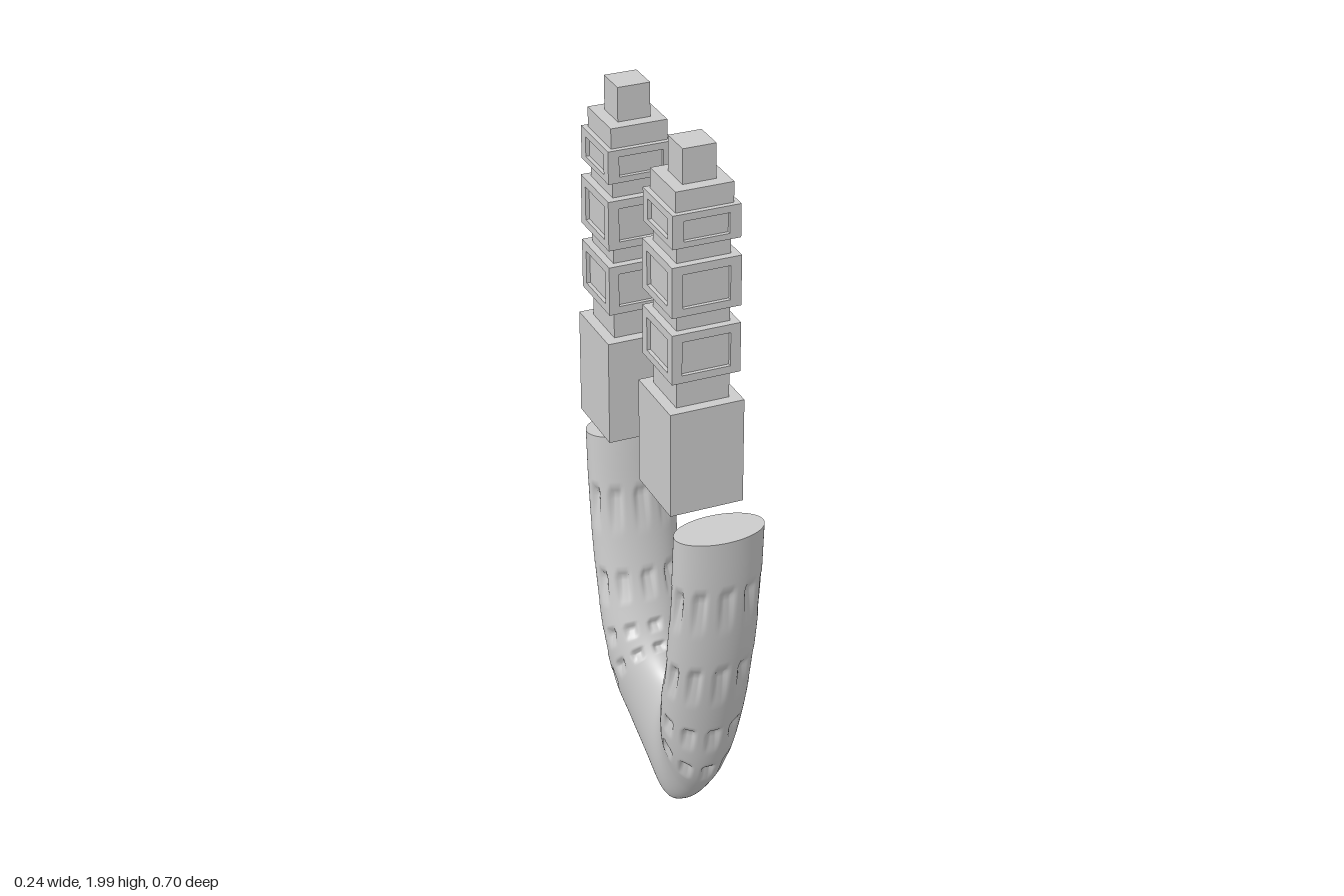
import * as THREE from 'three';

const material = new THREE.MeshStandardMaterial({ color: 0xcccccc });

function add(parent, name, geometry, x = 0, y = 0, z = 0) {
  const mesh = new THREE.Mesh(geometry, material);
  mesh.name = name;
  mesh.position.set(x, y, z);
  parent.add(mesh);
  return mesh;
}

// Square block between two heights
function block(parent, name, width, y0, y1) {
  return add(parent, name, new THREE.BoxGeometry(width, y1 - y0, width), 0, (y0 + y1) / 2, 0);
}

// Block with a raised rectangular frame on each of its four sides
function framedBlock(parent, width, y0, y1, openWidth, openY0, openY1) {
  const depth = 0.01, h = width / 2, o = openWidth / 2;
  const group = new THREE.Group();
  group.name = 'framedBlock';
  block(group, 'blockCore', width - 2 * depth, y0, y1);
  const shape = new THREE.Shape([[-h, y0], [h, y0], [h, y1], [-h, y1]].map(p => new THREE.Vector2(...p)));
  shape.holes.push(new THREE.Path(
    [[-o, openY0], [-o, openY1], [o, openY1], [o, openY0]].map(p => new THREE.Vector2(...p))));
  const frame = new THREE.ExtrudeGeometry(shape, { depth, bevelEnabled: false });
  frame.translate(0, 0, h - depth);
  for (let i = 0; i < 4; i++) add(group, 'windowFrame', frame).rotation.y = i * Math.PI / 2;
  parent.add(group);
}

function makeTower(z) {
  const tower = new THREE.Group();
  tower.name = 'tower';
  block(tower, 'towerBase', 0.192, 1.07, 1.35);
  block(tower, 'towerCore', 0.137, 1.35, 1.86);
  framedBlock(tower, 0.176, 1.425, 1.555, 0.124, 1.445, 1.533);
  framedBlock(tower, 0.176, 1.6, 1.73, 0.12, 1.62, 1.708);
  framedBlock(tower, 0.172, 1.775, 1.86, 0.115, 1.79, 1.842);
  block(tower, 'towerCollar', 0.146, 1.855, 1.912);
  block(tower, 'towerTop', 0.084, 1.912, 2);
  tower.position.set(-0.025, 0, z);
  return tower;
}

// Half of the U body: outer z, y; inner z, y; half width in x
const STATIONS = [
  [0.348, 1.015, 0.217, 1.015, 0.118],
  [0.333, 0.81, 0.198, 0.81, 0.118],
  [0.307, 0.6, 0.16, 0.62, 0.116],
  [0.265, 0.39, 0.118, 0.5, 0.112],
  [0.225, 0.235, 0.085, 0.44, 0.098],
  [0.165, 0.135, 0.05, 0.4, 0.076],
  [0.085, 0.055, 0.022, 0.38, 0.06],
  [0, 0.008, 0, 0.373, 0.055],
];
const SLOT_ROWS = [[0.7, 1.35], [1.9, 2.5], [2.95, 3.4], [3.8, 4.3]];
const SLOT_COLUMNS = 10;

// Depth of the wedge-shaped slots, 0..1, at a station and an angle
function slotDepth(station, angle) {
  const row = SLOT_ROWS.find(([a, b]) => station > a && station < b);
  if (!row) return 0;
  const v = (station - row[0]) / (row[1] - row[0]);
  const q = Math.abs((angle * SLOT_COLUMNS / (2 * Math.PI) + 0.5) % 1 - 0.5);
  const across = THREE.MathUtils.clamp((0.28 - q) / 0.09, 0, 1);
  return Math.min(1, v * 6) * (1 - v) * across;
}

// U body: elliptical sections between the outer and the inner curve
function bodyGeometry() {
  const all = STATIONS.concat(
    STATIONS.slice(0, -1).reverse().map(([a, b, c, d, w]) => [-a, b, -c, d, w]));
  const curve = pts => new THREE.CatmullRomCurve3(pts, false, 'catmullrom', 0.5);
  const outer = curve(all.map(([z, y, , , w]) => new THREE.Vector3(w, y, z)));
  const inner = curve(all.map(([, , z, y]) => new THREE.Vector3(0, y, z)));
  const rings = 224, sides = 120, positions = [], indices = [];

  for (let i = 0; i <= rings; i++) {
    const s = i / rings;
    const o = outer.getPoint(s), n = inner.getPoint(s);
    const station = Math.min(s, 1 - s) * (all.length - 1);
    for (let j = 0; j < sides; j++) {
      const a = j / sides * Math.PI * 2;
      const r = 1 - 0.16 * slotDepth(station, a);
      const c = Math.cos(a) * r / 2;
      positions.push(o.x * Math.sin(a) * r,
        (o.y + n.y) / 2 + c * (o.y - n.y),
        (o.z + n.z) / 2 + c * (o.z - n.z));
      if (i < rings) {
        const k = (j + 1) % sides, p = i * sides, q = p + sides;
        indices.push(p + j, q + j, p + k, p + k, q + j, q + k);
      }
    }
  }
  const geometry = new THREE.BufferGeometry();
  geometry.setAttribute('position', new THREE.Float32BufferAttribute(positions, 3));
  geometry.setIndex(indices);
  geometry.computeVertexNormals();
  return geometry;
}

export function createModel() {
  const model = new THREE.Group();
  model.name = 'model';

  add(model, 'curvedBody', bodyGeometry());

  // Flat ends of the two arms
  const [z0, top, z1, , halfWidth] = STATIONS[0];
  for (const side of [1, -1]) {
    const cap = new THREE.CircleGeometry(1, 120);
    cap.scale(halfWidth, (z0 - z1) / 2, 1);
    cap.rotateX(-Math.PI / 2);
    add(model, 'armEnd', cap, 0, top, side * (z0 + z1) / 2);
  }

  // Towers above the arms and the ball between them
  model.add(makeTower(0.168), makeTower(-0.215));
  add(model, 'ball', new THREE.SphereGeometry(0.031, 32, 20), -0.016, 1.01, -0.017);

  return model;
}
